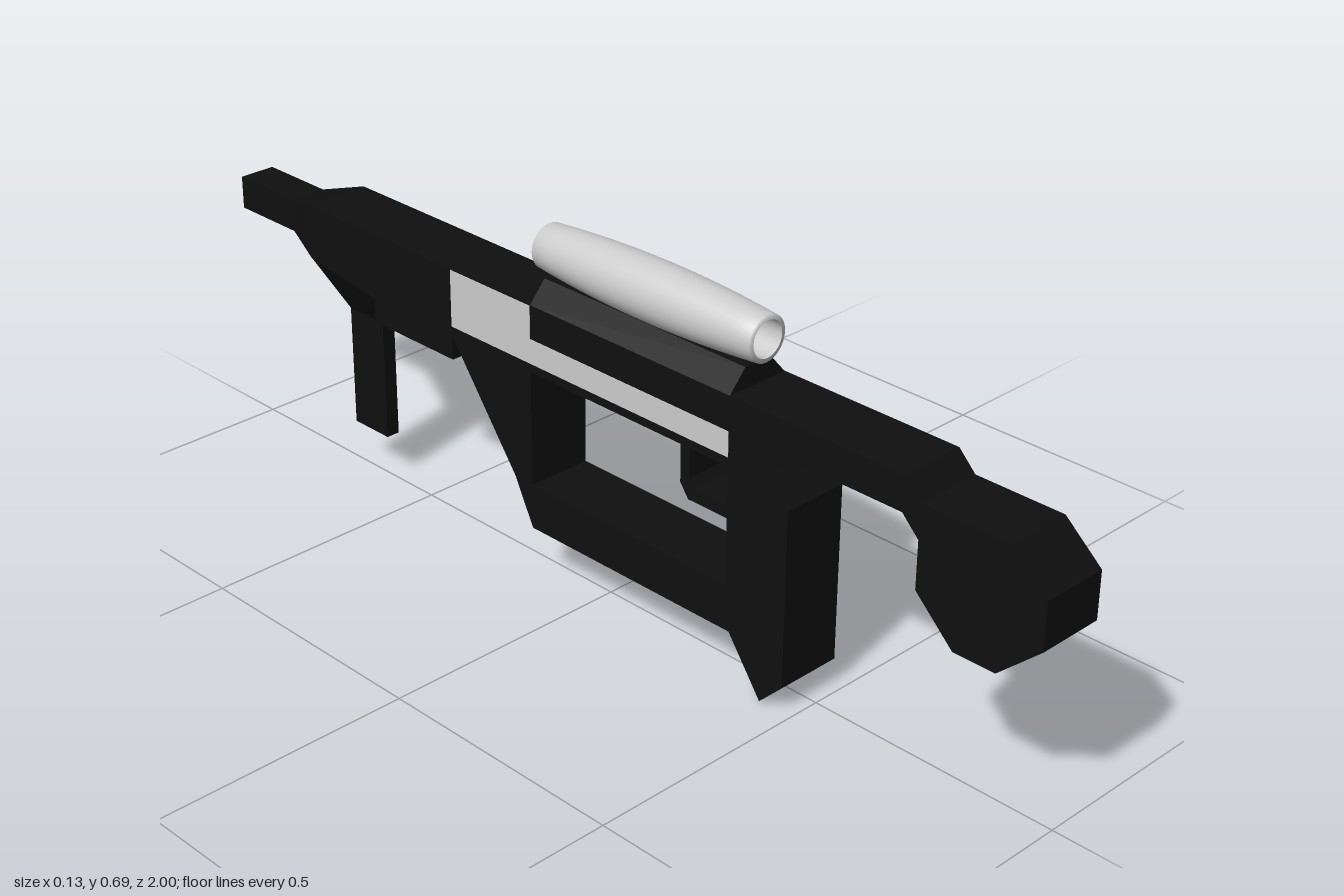
import * as THREE from 'three';

const black = new THREE.MeshStandardMaterial({ color: 0x0f0f0f });
const grey = new THREE.MeshStandardMaterial({ color: 0xcccccc });
const red = new THREE.MeshStandardMaterial({ color: 0xcc3311 });
const HALF = 0.066;

const pts = (list) => list.map(([a, b]) => new THREE.Vector2(a, b));

function add(group, name, geometry, material = black) {
  const mesh = new THREE.Mesh(geometry, material);
  mesh.name = name;
  group.add(mesh);
  return mesh;
}

// Side profile in (z, y), extruded across x and centred on x = 0
function slab(outline, width, holes = []) {
  const shape = new THREE.Shape(pts(outline));
  holes.forEach((h) => shape.holes.push(new THREE.Path(pts(h))));
  const g = new THREE.ExtrudeGeometry(shape, { depth: width, bevelEnabled: false });
  return g.translate(0, 0, -width / 2).rotateY(-Math.PI / 2);
}

// Unit box whose corners are moved by a rule of their signs
function block(rule) {
  const g = new THREE.BoxGeometry(2, 2, 2);
  const p = g.attributes.position;
  for (let i = 0; i < p.count; i++) p.setXYZ(i, ...rule(p.getX(i), p.getY(i), p.getZ(i)));
  g.computeVertexNormals();
  return g;
}

export function createModel() {
  const model = new THREE.Group();
  model.name = 'model';

  // Stock, receiver, grip and lower frame as one cut plate
  const outline = [
    [1, 0.45], [0.925, 0.515], [0.75, 0.515], [0.715, 0.55], [-0.75, 0.55], [-0.75, 0.44],
    [-0.565, 0.418], [-0.345, 0.418], [-0.18, 0.195], [-0.135, 0.105], [0.355, 0.105],
    [0.43, 0], [0.48, 0.05], [0.48, 0.39], [0.43, 0.437], [0.49, 0.485], [0.715, 0.485],
    [0.75, 0.45], [0.75, 0.36], [0.83, 0.283], [0.915, 0.283], [1, 0.36],
  ];
  const opening = [[0.345, 0.42], [-0.135, 0.42], [-0.135, 0.193], [0.345, 0.193]];
  add(model, 'body', slab(outline, 2 * HALF, [opening]));

  // Trigger guard inside the opening
  add(model, 'triggerGuard', slab([
    [0.256, 0.42], [0.236, 0.42], [0.236, 0.348], [0.255, 0.322], [0.345, 0.322],
    [0.345, 0.347], [0.268, 0.347], [0.256, 0.362],
  ], 2 * HALF));

  // Pale side panels, stepped up towards the barrel
  const panel = [[0.345, 0.437], [-0.345, 0.437], [-0.345, 0.549], [-0.135, 0.549], [-0.135, 0.485], [0.345, 0.485]];
  for (const side of [-1, 1]) {
    const g = slab(panel, 0.002);
    add(model, side > 0 ? 'leftPanel' : 'rightPanel', g, grey).position.x = side * HALF;
  }

  // Tapered nose and barrel
  add(model, 'barrelTaper', block((x, y, z) => (z > 0
    ? [x * HALF, y > 0 ? 0.55 : 0.44, -0.75]
    : [x * 0.037, y > 0 ? 0.525 : 0.46, -0.84])));
  add(model, 'barrel', block((x, y, z) => [x * 0.037, y > 0 ? 0.525 : 0.46, z > 0 ? -0.84 : -1]));

  // Hollow well under the receiver
  const rect = (w, h) => pts([[-w, -h], [w, -h], [w, h], [-w, h]]);
  const well = new THREE.Shape(rect(HALF, 0.11));
  well.holes.push(new THREE.Path(rect(0.03, 0.04)));
  const wellGeo = new THREE.ExtrudeGeometry(well, { depth: 0.05, bevelEnabled: false });
  add(model, 'lowerWell', wellGeo.rotateX(-Math.PI / 2)).position.set(0, 0.37, -0.455);

  // Foregrip: flared collar and slim post
  add(model, 'foregripCollar', block((x, y, z) => (y > 0
    ? [x * HALF, z > 0 ? 0.42 : 0.441, z > 0 ? -0.565 : -0.75]
    : [x * 0.014, 0.335, z > 0 ? -0.61 : -0.705])));
  add(model, 'foregripPost', block((x, y, z) => [x * 0.014, y > 0 ? 0.335 : 0.09, z > 0 ? -0.61 : -0.705]));

  // Sloped sight mount
  add(model, 'sightMount', block((x, y, z) => [
    x * (y > 0 ? 0.03 : HALF), y > 0 ? 0.59 : 0.549, z > 0 ? 0.345 : -0.135,
  ]));

  // Barrel-shaped open sight tube with its aiming dot
  const profile = [[0.034, -0.26], [0.043, -0.258]];
  for (let i = 1; i < 12; i++) {
    const t = -1 + i / 6;
    profile.push([0.055 - 0.012 * t * t, t * 0.258]);
  }
  profile.push([0.043, 0.258], [0.034, 0.26]);
  const sight = new THREE.Group();
  sight.name = 'sight';
  sight.position.set(0, 0.637, 0.105);
  add(sight, 'sightTube', new THREE.LatheGeometry(pts(profile), 32).rotateX(Math.PI / 2), grey);
  const bore = new THREE.CylinderGeometry(0.034, 0.034, 0.52, 32, 1, true).rotateX(Math.PI / 2);
  add(sight, 'sightBore', bore, new THREE.MeshStandardMaterial({ color: 0xcccccc, side: THREE.DoubleSide }));
  add(sight, 'aimingDot', new THREE.SphereGeometry(0.007, 12, 8), red);
  model.add(sight);

  return model;
}
